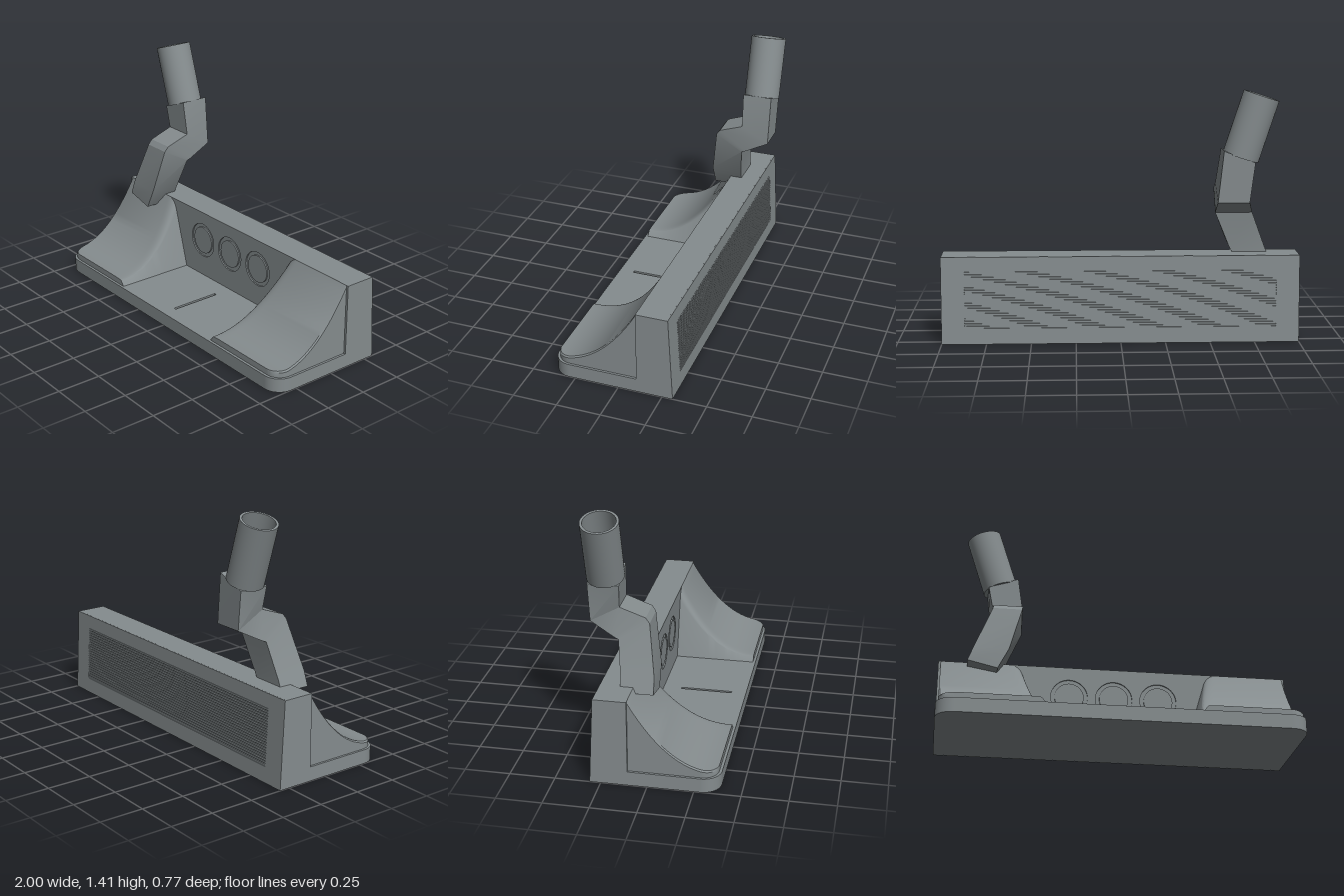
import * as THREE from 'three';
import { toCreasedNormals } from 'three/addons/utils/BufferGeometryUtils.js';

const steel = new THREE.MeshStandardMaterial({ color: 0x858c8e });
steel.name = 'steel grey';

function part(name, geometry, parent) {
  const mesh = new THREE.Mesh(geometry, steel);
  mesh.name = name;
  parent.add(mesh);
  return mesh;
}

// Closed solid through rings of equal length, each counter-clockwise seen from the end of travel
function loft(rings, crease) {
  const n = rings[0].length, last = (rings.length - 1) * n, index = [];
  for (let r = 0; r < rings.length - 1; r++) {
    for (let i = 0; i < n; i++) {
      const a = r * n + i, b = r * n + (i + 1) % n;
      index.push(a, b, b + n, a, b + n, a + n);
    }
  }
  for (let i = 1; i < n - 1; i++) {
    index.push(0, i + 1, i, last, last + i, last + i + 1);
  }
  const g = new THREE.BufferGeometry();
  g.setAttribute('position', new THREE.Float32BufferAttribute(rings.flat(2), 3));
  g.setIndex(index);
  return toCreasedNormals(g, crease);
}

function rectangle(Type, x0, y0, x1, y1) {
  return new Type([[x0, y0], [x1, y0], [x1, y1], [x0, y1]].map(p => new THREE.Vector2(...p)));
}

function extrude(shape, depth, curveSegments = 32) {
  return new THREE.ExtrudeGeometry(shape, { depth, bevelEnabled: false, curveSegments });
}

// Plan outline of the sole, with rounded front corners
function soleShape() {
  const s = new THREE.Shape(), r = 0.1;
  s.moveTo(-1, -0.11);
  s.lineTo(1, -0.11);
  s.lineTo(1, 0.385 - r);
  s.absarc(1 - r, 0.385 - r, r, 0, Math.PI / 2, false);
  s.lineTo(-1 + r, 0.385);
  s.absarc(-1 + r, 0.385 - r, r, Math.PI / 2, Math.PI, false);
  return s;
}

// Concave shoulder that sweeps from the sole up to the top of the blade
function shoulderGeometry(side) {
  const rings = [], front = 0.37, back = -0.106, r = 0.085, steps = 36;
  for (let k = 0; k <= steps; k++) {
    const z = back + (front - back) * Math.sin(k / steps * Math.PI / 2);
    const h = 0.115 + 0.375 * Math.pow((front - z) / (front - back), 2.2);
    const d = Math.max(0, z - (front - r));
    const outer = 0.987 - r + Math.sqrt(Math.max(0, r * r - d * d));
    const t = (h - 0.08) / 0.41, top = 0.44 + 0.1 * t;
    const ring = [[0.42, 0.078, z], [outer, 0.078, z], [outer, h - 0.008, z], [outer - 0.008, h, z]];
    // rounded inner edge
    const curve = new THREE.QuadraticBezierCurve(
      new THREE.Vector2(top + 0.06, h),
      new THREE.Vector2(top, h),
      new THREE.Vector2(0.42 + (top - 0.42) * 0.84, 0.08 + (h - 0.08) * 0.84));
    for (const p of curve.getPoints(8)) ring.push([p.x, p.y, z]);
    rings.push(side > 0 ? ring : ring.map(([x, y, w]) => [-x, y, w]).reverse());
  }
  return loft(rings, 0.6);
}

export function createModel() {
  const model = new THREE.Group();
  model.name = 'golf putter head';

  // Blade core, leaning slightly on the striking side
  const profile = new THREE.Shape([[-0.113, 0], [-0.113, 0.49], [-0.279, 0.49], [-0.304, 0]]
    .map(p => new THREE.Vector2(...p)));
  const blade = part('blade', extrude(profile, 2), model);
  blade.rotation.y = -Math.PI / 2;
  blade.position.x = 1;

  // Cavity wall with three engraved rings
  const wall = rectangle(THREE.Shape, -1, 0, 1, 0.49);
  for (const x of [-0.255, 0, 0.255]) {
    wall.holes.push(new THREE.Path().absarc(x, 0.31, 0.105, 0, Math.PI * 2, true));
    const disc = part('ringCentre', extrude(new THREE.Shape().absarc(x, 0.31, 0.083, 0, Math.PI * 2, false), 0.008), model);
    disc.position.z = -0.113;
  }
  part('cavityWall', extrude(wall, 0.008), model).position.z = -0.113;

  // Striking face: frame around a grooved insert
  const face = new THREE.Group();
  face.name = 'strikingFace';
  face.position.z = -0.31;
  face.rotation.x = Math.atan2(0.025, 0.49);
  model.add(face);
  const frame = rectangle(THREE.Shape, -1, 0, 1, 0.4906);
  frame.holes.push(rectangle(THREE.Path, -0.87, 0.09, 0.87, 0.41));
  part('faceFrame', extrude(frame, 0.006), face);
  const ridges = 22, pitch = 0.32 / ridges;
  for (let i = 0; i < ridges; i++) {
    part('faceRidge', new THREE.BoxGeometry(1.74, pitch * 0.68, 0.006), face)
      .position.set(0, 0.09 + (i + 0.5) * pitch, 0.0035);
  }

  // Sole in two layers; the upper one carries the sight line slot
  const lower = part('sole', extrude(soleShape(), 0.068), model);
  const upperShape = soleShape();
  upperShape.holes.push(rectangle(THREE.Path, -0.008, 0, 0.008, 0.3));
  const upper = part('soleTop', extrude(upperShape, 0.012), model);
  lower.rotation.x = upper.rotation.x = Math.PI / 2;
  lower.position.y = 0.068;
  upper.position.y = 0.08;

  // Shoulders
  part('leftShoulder', shoulderGeometry(1), model);
  part('rightShoulder', shoulderGeometry(-1), model);

  // Cranked neck: corners run front right, front left, back left, back right
  part('neck', loft([
    [[-0.84, 0.46, 0.005], [-0.67, 0.42, 0.005], [-0.67, 0.42, -0.175], [-0.84, 0.46, -0.175]],
    [[-0.81, 0.54, 0.005], [-0.61, 0.54, 0.005], [-0.615, 0.52, -0.175], [-0.815, 0.52, -0.175]],
    [[-0.708, 0.81, -0.038], [-0.54, 0.81, -0.038], [-0.532, 0.72, -0.2], [-0.74, 0.72, -0.2]],
    [[-0.705, 0.84, -0.06], [-0.535, 0.84, -0.06], [-0.53, 0.73, -0.225], [-0.735, 0.73, -0.225]],
    [[-0.705, 0.89, -0.2], [-0.53, 0.89, -0.2], [-0.53, 0.8, -0.36], [-0.705, 0.8, -0.36]],
    [[-0.732, 1.02, -0.195], [-0.56, 1.085, -0.195], [-0.56, 1.085, -0.365], [-0.732, 1.02, -0.365]],
  ], 0.35), model);

  // Open shaft socket
  const socketProfile = [[0, 0], [0.102, 0], [0.102, 0.355], [0.088, 0.355], [0.088, 0.03], [0, 0.03]]
    .map(p => new THREE.Vector2(...p));
  const socket = part('shaftSocket', toCreasedNormals(new THREE.LatheGeometry(socketProfile, 40), 0.6), model);
  socket.position.set(-0.66, 1.045, -0.281);
  socket.rotation.z = 0.315;

  return model;
}
